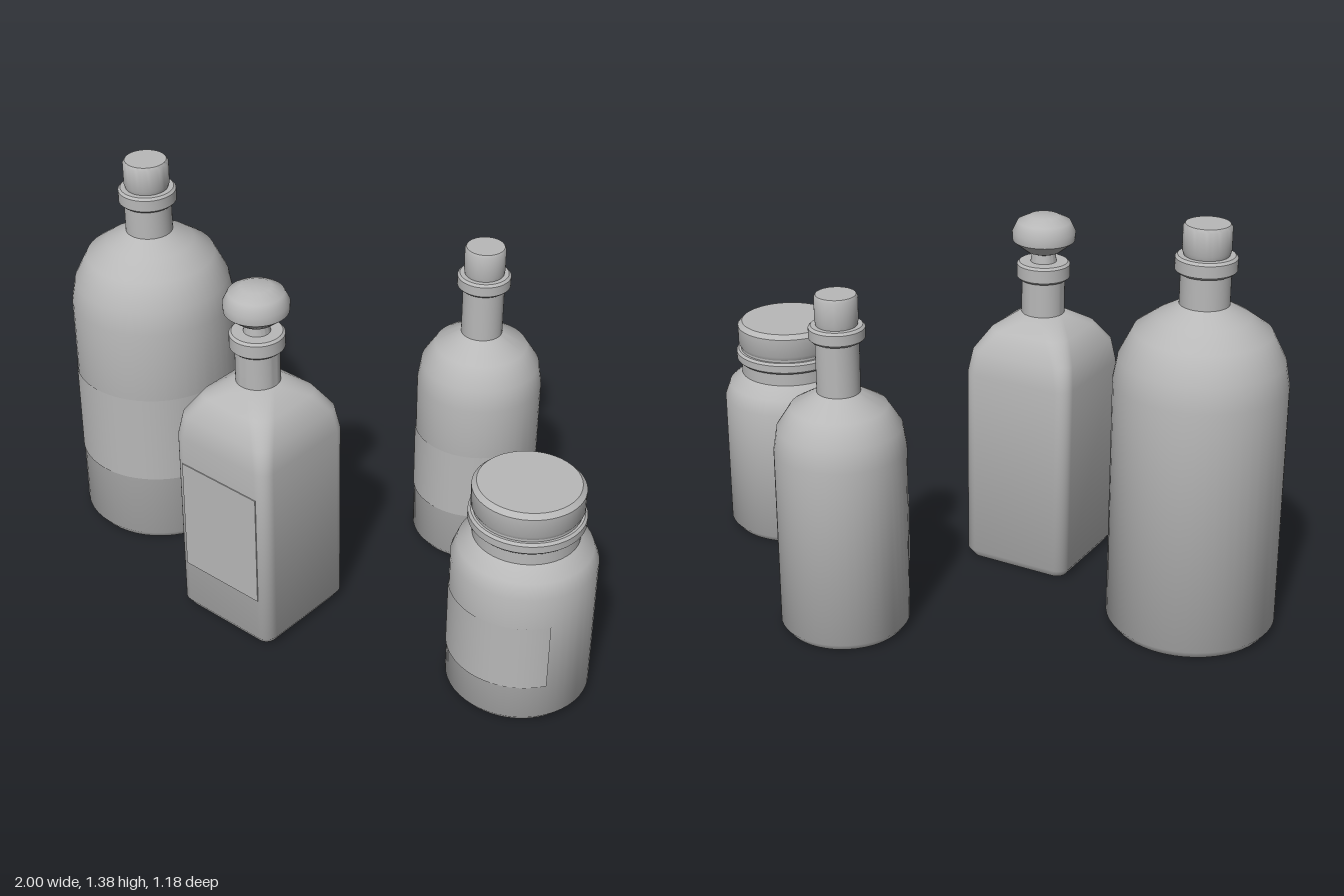
import * as THREE from 'three';
import { toCreasedNormals } from 'three/addons/utils/BufferGeometryUtils.js';

const SEGMENTS = 48;
const CREASE = 0.75;

export function createModel() {
  const root = new THREE.Group();
  root.name = 'bottleSet';
  const grey = new THREE.MeshStandardMaterial({ color: 0xb8b8b8 });
  grey.name = 'plain grey';
  const labelGrey = grey.clone();
  labelGrey.name = 'label grey';
  labelGrey.side = THREE.DoubleSide;

  function add(parent, name, geometry, material = grey) {
    const mesh = new THREE.Mesh(geometry, material);
    mesh.name = name;
    parent.add(mesh);
    return mesh;
  }

  // Closed turned part from [radius, y] pairs, bottom to top
  function turned(parent, name, profile) {
    const pts = [[0, profile[0][1]], ...profile, [0, profile[profile.length - 1][1]]];
    const lathe = new THREE.LatheGeometry(pts.map(([r, y]) => new THREE.Vector2(r, y)), SEGMENTS);
    return add(parent, name, toCreasedNormals(lathe, CREASE));
  }

  // Ring or cork with small chamfers
  function collar(parent, name, r, y0, y1, c = 0.008) {
    return turned(parent, name, [[r - c, y0], [r, y0 + c], [r, y1 - c], [r - c, y1]]);
  }

  // Thin label wrapped around part of a round body
  function wrapLabel(parent, r, y0, y1, from, to) {
    const rad = THREE.MathUtils.degToRad;
    const g = new THREE.CylinderGeometry(r, r, y1 - y0, 32, 1, true, rad(from), rad(to - from));
    add(parent, 'label', g, labelGrey).position.y = (y0 + y1) / 2;
  }

  // Skin over rounded-square sections [half width, corner radius, y]
  function squareLoft(sections) {
    const steps = 8, pos = [], index = [], n = 4 * (steps + 1);
    for (const [h, r, y] of sections) {
      for (let k = 0; k < 4; k++) {
        const mid = Math.PI / 4 + k * Math.PI / 2;
        const d = (h - r) * Math.SQRT2;
        for (let s = 0; s <= steps; s++) {
          const a = mid + (s / steps - 0.5) * Math.PI / 2;
          pos.push(d * Math.sin(mid) + r * Math.sin(a), y, d * Math.cos(mid) + r * Math.cos(a));
        }
      }
    }
    for (let j = 0; j < sections.length - 1; j++) {
      for (let i = 0; i < n; i++) {
        const a = j * n + i, b = j * n + (i + 1) % n;
        index.push(a, b, b + n, a, b + n, a + n);
      }
    }
    const g = new THREE.BufferGeometry();
    g.setAttribute('position', new THREE.Float32BufferAttribute(pos, 3));
    g.setIndex(index);
    return toCreasedNormals(g, CREASE);
  }

  function vessel(name, x, z) {
    const g = new THREE.Group();
    g.name = name;
    g.position.set(x, 0, z);
    root.add(g);
    return g;
  }

  // Large round bottle
  const large = vessel('largeBottle', -0.72, -0.19);
  turned(large, 'body', [[0.257, 0], [0.28, 0.03], [0.28, 0.86], [0.265, 0.94], [0.22, 1.03],
    [0.15, 1.08], [0.08, 1.12], [0.08, 1.24]]);
  collar(large, 'lip', 0.098, 1.225, 1.28);
  turned(large, 'cork', [[0.07, 1.275], [0.077, 1.295], [0.077, 1.37], [0.07, 1.38]]);
  wrapLabel(large, 0.283, 0.27, 0.6, -68, 60);

  // Small round bottle
  const small = vessel('smallBottle', 0.41, -0.38);
  turned(small, 'body', [[0.195, 0], [0.214, 0.025], [0.214, 0.635], [0.202, 0.71], [0.157, 0.78],
    [0.07, 0.83], [0.07, 1.02]]);
  collar(small, 'lip', 0.09, 1.005, 1.055);
  turned(small, 'cork', [[0.065, 1.05], [0.069, 1.07], [0.069, 1.147], [0.064, 1.155]]);
  wrapLabel(small, 0.217, 0.2, 0.45, -75, 45);

  // Wide jar with lid
  const jar = vessel('jar', 0.765, 0.35);
  turned(jar, 'body', [[0.213, 0], [0.234, 0.025], [0.234, 0.5], [0.215, 0.55], [0.17, 0.59], [0.17, 0.69]]);
  collar(jar, 'rim', 0.186, 0.637, 0.678);
  turned(jar, 'lid', [[0.168, 0.682], [0.178, 0.7], [0.178, 0.765], [0.163, 0.78]]);
  wrapLabel(jar, 0.237, 0.15, 0.39, -80, 36);

  // Square decanter, turned toward one side
  const square = vessel('squareBottle', -0.16, 0.25);
  square.rotation.y = -0.37;
  add(square, 'body', squareLoft([[0, 0, 0], [0.18, 0.035, 0], [0.2, 0.045, 0.03], [0.2, 0.045, 0.7],
    [0.188, 0.05, 0.78], [0.145, 0.06, 0.85], [0.073, 0.07, 0.9], [0, 0, 0.9]]));
  turned(square, 'neck', [[0.073, 0.89], [0.073, 1.03]]);
  collar(square, 'lip', 0.09, 1.02, 1.08);
  turned(square, 'stopper', [[0.045, 1.07], [0.04, 1.11], [0.06, 1.118], [0.105, 1.155], [0.107, 1.185],
    [0.09, 1.22], [0.05, 1.24]]);
  add(square, 'label', new THREE.BoxGeometry(0.32, 0.41, 0.006), grey).position.set(0, 0.395, 0.2);

  return root;
}
